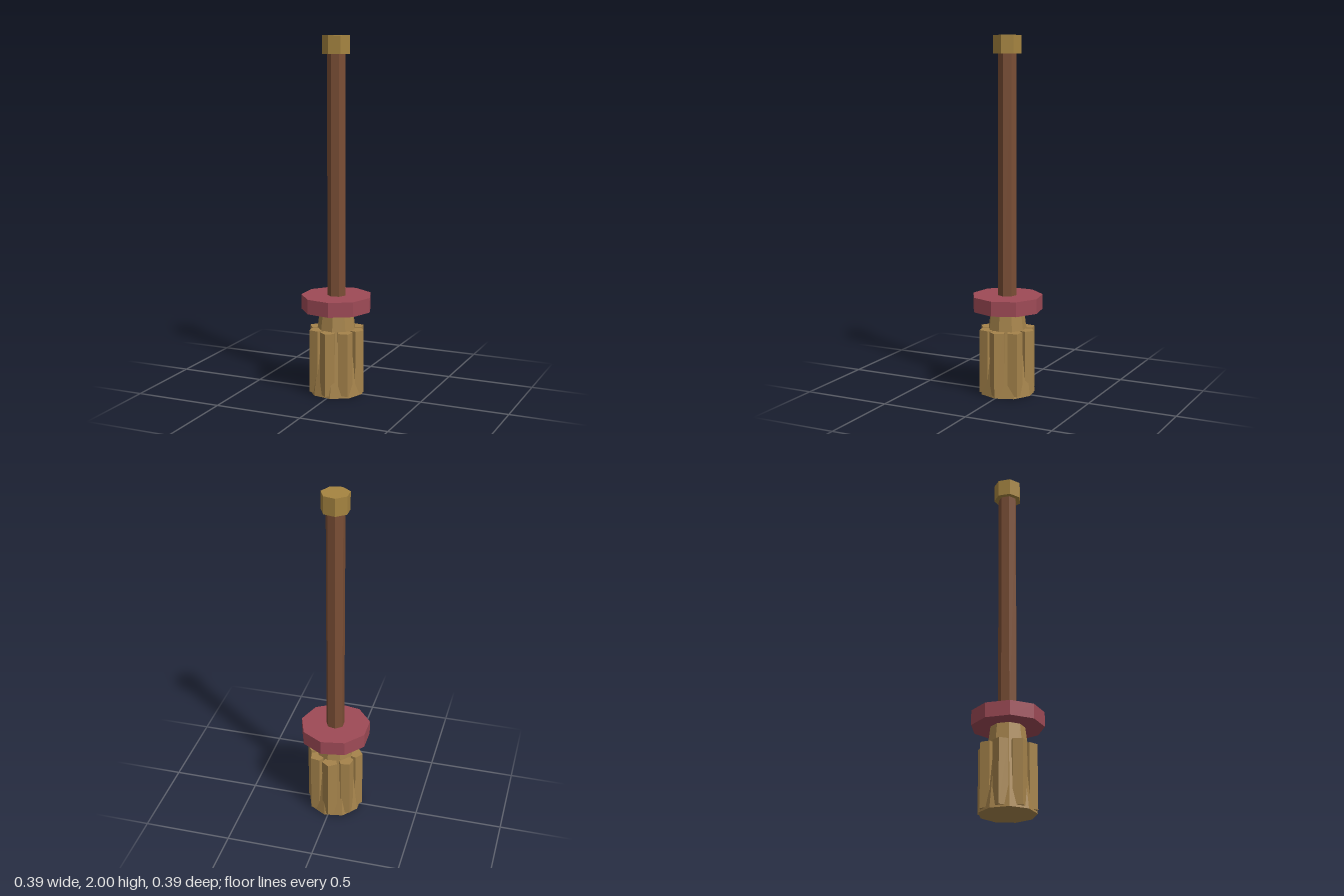
import * as THREE from 'three';

const AXIS_X = -0.006;

const paint = (color) => new THREE.MeshStandardMaterial({ color, flatShading: true });

// Faceted upright prism or cone from y0 to y1, with one corner facing +x
function prism(name, rTop, rBottom, y0, y1, sides, material) {
  const geometry = new THREE.CylinderGeometry(rTop, rBottom, y1 - y0, sides);
  geometry.rotateY(Math.PI / 2);
  geometry.translate(0, (y0 + y1) / 2, 0);
  const mesh = new THREE.Mesh(geometry, material);
  mesh.name = name;
  return mesh;
}

export function createModel() {
  const wood = paint(0x7a4e35);
  const straw = paint(0xa5834b);
  const red = paint(0x9e4a56);
  const brass = paint(0xa58440);

  const broom = new THREE.Group();
  broom.name = 'broom';
  broom.position.x = AXIS_X;

  // Handle with end cap, and the binding collar
  broom.add(prism('handle', 0.0525, 0.0525, 0.45, 1.92, 7, wood));
  broom.add(prism('endCap', 0.079, 0.079, 1.9, 2, 7, brass));
  broom.add(prism('collar', 0.2, 0.2, 0.477, 0.56, 9, red));

  // Flared straw core
  broom.add(prism('strawCore', 0.094, 0.157, 0, 0.48, 9, straw));

  // Ring of straw bundles around the core
  const bundles = new THREE.Group();
  bundles.name = 'strawBundles';
  const count = 8;
  for (let i = 0; i < count; i++) {
    const angle = (i / count) * Math.PI * 2;
    const bundle = prism('strawBundle', 0.046, 0.046, 0.012, 0.37, 5, straw);
    bundle.position.set(Math.cos(angle) * 0.118, 0, -Math.sin(angle) * 0.118);
    bundle.rotation.y = angle;
    bundles.add(bundle);
  }
  broom.add(bundles);

  const model = new THREE.Group();
  model.name = 'model';
  model.add(broom);
  return model;
}
